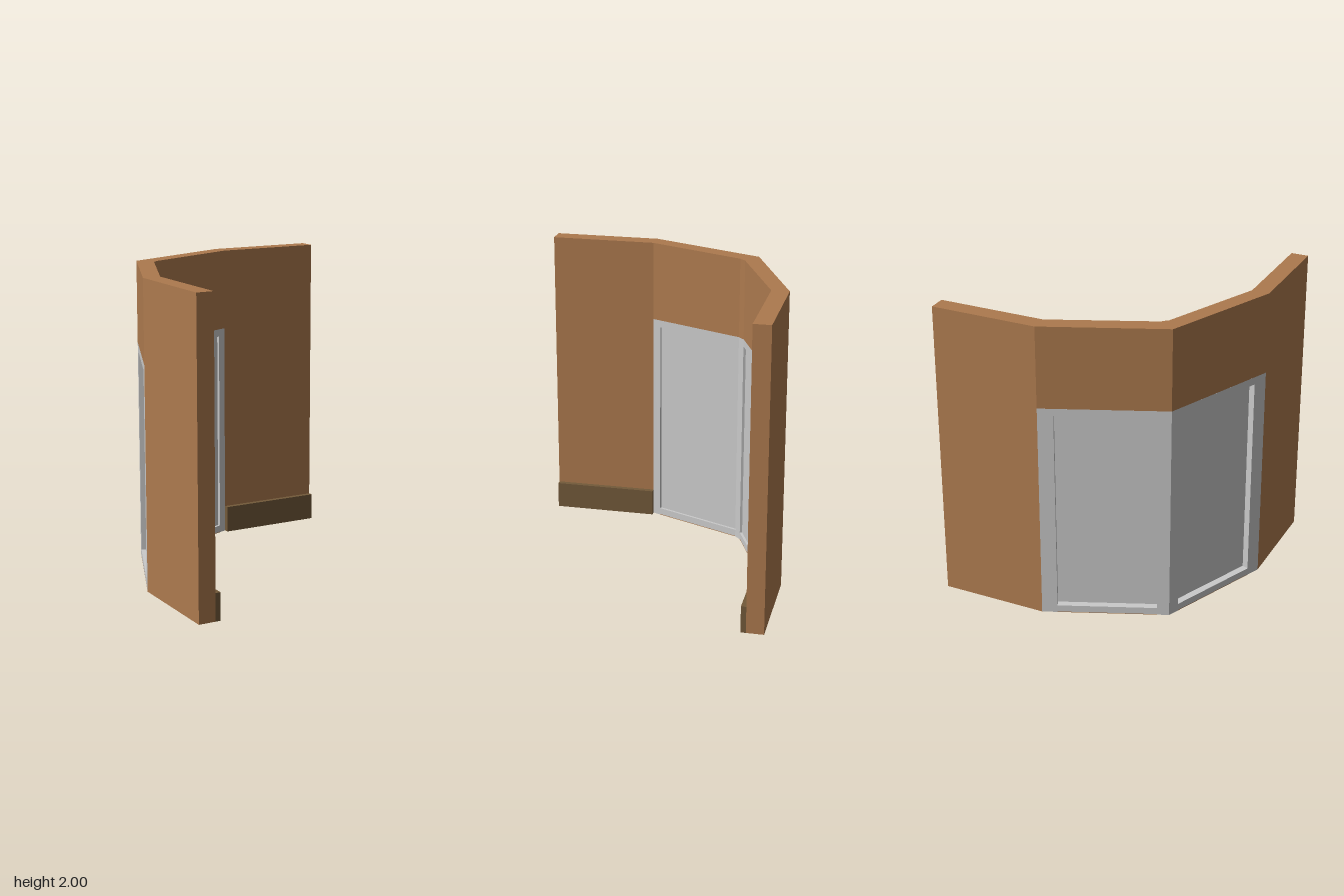
import * as THREE from 'three';

const HEIGHT = 2, DOOR_TOP = 1.46, PANE_LOW = 0.05, PANE_HIGH = 1.41, SKIRT = 0.18;

// Plan points [x, z] of the back half; the other half swaps x and z
const OUT_END = [0.885, -0.885], OUT_BEND = [0.182, -0.885], OUT_CORNER = [-0.572, -0.572];
const IN_END = [0.885, -0.771], IN_BEND = [0.186, -0.771];
const IN_EDGE = [-0.46, -0.498], IN_CORNER = [-0.478, -0.478];
// Window opening: inner and outer edge at each jamb
const OPEN_A = [0.132, -0.748], OPEN_A_OUT = [0.09, -0.847];
const OPEN_B = IN_EDGE, OPEN_B_OUT = [-0.5, -0.602];

const swap = ([x, z]) => [z, x];
const mix = (a, b, t) => [a[0] + (b[0] - a[0]) * t, a[1] + (b[1] - a[1]) * t];

// Upright prism over a plan outline
function prism(points, y0, y1) {
  const shape = new THREE.Shape(points.map(([x, z]) => new THREE.Vector2(x, -z)));
  const geo = new THREE.ExtrudeGeometry(shape, { depth: y1 - y0, bevelEnabled: false });
  geo.rotateX(-Math.PI / 2);
  geo.translate(0, y0, 0);
  return geo;
}

export function createModel() {
  const group = new THREE.Group();
  const material = (name, color) => {
    const m = new THREE.MeshStandardMaterial({ color });
    m.name = name;
    return m;
  };
  const wall = material('wall brown', 0xad7a4e);
  const dark = material('skirting brown', 0x735a3a);
  const grey = material('frame grey', 0xcacaca);

  const add = (name, points, y0, y1, mat) => {
    const mesh = new THREE.Mesh(prism(points, y0, y1), mat);
    mesh.name = name;
    group.add(mesh);
  };

  // Continuous wall above the windows
  const outer = [OUT_END, OUT_BEND, OUT_CORNER, swap(OUT_BEND), swap(OUT_END)];
  const inner = [swap(IN_END), swap(IN_BEND), swap(IN_EDGE), IN_CORNER, IN_EDGE, IN_BEND, IN_END];
  add('upperWall', [...outer, ...inner], DOOR_TOP, HEIGHT, wall);

  // Post shared by both windows
  add('cornerPost', [OUT_CORNER, swap(OPEN_B_OUT), swap(OPEN_B), IN_CORNER, OPEN_B, OPEN_B_OUT],
    0, DOOR_TOP, grey);

  for (const [side, map] of [['back', (p) => p], ['right', swap]]) {
    const part = (name, points, y0, y1, mat) => add(side + name, points.map(map), y0, y1, mat);

    // Solid wall wing and its skirting board
    part('Wall', [OUT_END, OUT_BEND, IN_BEND, IN_END], 0, DOOR_TOP, wall);
    part('Skirting', [IN_END, IN_BEND, [0.186, -0.737], [0.885, -0.737]], 0, SKIRT, dark);

    // Window frame: jamb, rails and the wall-coloured underside
    const opening = [OPEN_A, OPEN_A_OUT, OPEN_B_OUT, OPEN_B];
    part('Jamb', [OUT_BEND, IN_BEND, OPEN_A, OPEN_A_OUT], 0, DOOR_TOP, grey);
    part('TopRail', opening, PANE_HIGH, DOOR_TOP, grey);
    part('BottomRail', opening, 0.004, PANE_LOW, grey);
    part('SillBase', opening, 0, 0.004, wall);

    // Pane set back from both faces
    part('Pane', [mix(OPEN_A, OPEN_A_OUT, 0.15), mix(OPEN_A, OPEN_A_OUT, 0.58),
      mix(OPEN_B, OPEN_B_OUT, 0.58), mix(OPEN_B, OPEN_B_OUT, 0.15)], PANE_LOW, PANE_HIGH, grey);
  }
  return group;
}
